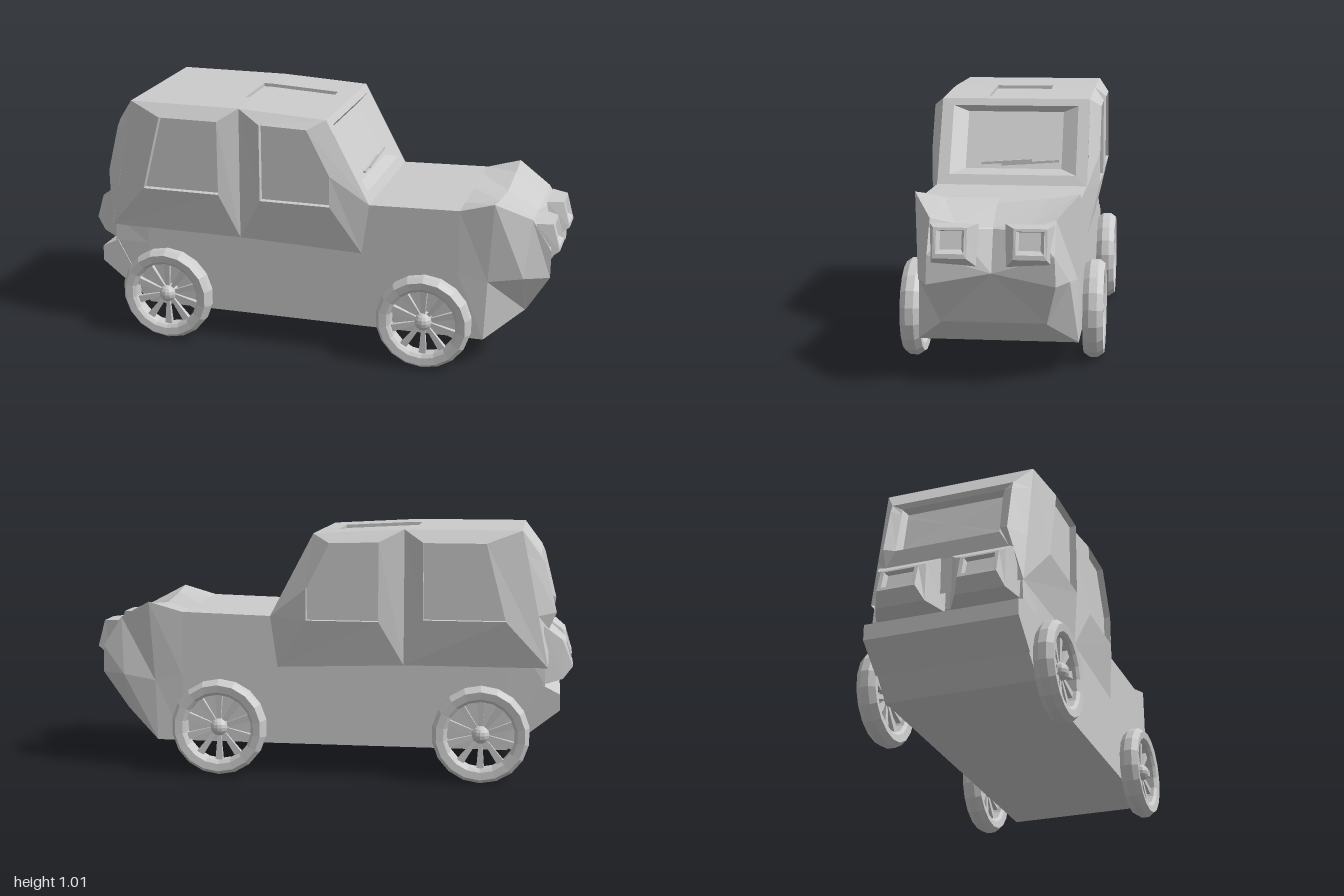
import * as THREE from 'three';

const mat = new THREE.MeshStandardMaterial({ color: 0xcccccc, flatShading: true, side: THREE.DoubleSide });

function addMesh(parent, name, geo) {
  const m = new THREE.Mesh(geo, mat);
  m.name = name;
  parent.add(m);
  return m;
}

// Skin through equal-length loops (counter-clockwise towards the viewer), capped at the last one
function loft(loops, { tip, back } = {}) {
  const pos = [];
  const tri = (...p) => p.forEach(v => pos.push(...v));
  const centre = l => [0, 1, 2].map(k => l.reduce((s, p) => s + p[k], 0) / l.length);
  const n = loops[0].length;
  for (let r = 0; r + 1 < loops.length; r++) {
    const a = loops[r], b = loops[r + 1];
    for (let i = 0; i < n; i++) {
      const j = (i + 1) % n;
      tri(a[i], a[j], b[j]);
      tri(a[i], b[j], b[i]);
    }
  }
  const last = loops[loops.length - 1], c = tip || centre(last);
  for (let i = 0; i < n; i++) tri(last[i], last[(i + 1) % n], c);
  if (back) {
    const d = centre(loops[0]);
    for (let i = 0; i < n; i++) tri(loops[0][(i + 1) % n], loops[0][i], d);
  }
  const g = new THREE.BufferGeometry();
  g.setAttribute('position', new THREE.Float32BufferAttribute(pos, 3));
  g.computeVertexNormals();
  return g;
}

const flip = p => [p[0], p[1], -p[2]];
const mirrorLoop = l => l.map(flip).reverse();
const shift = (l, dx, dy, dz) => l.map(p => [p[0] + dx, p[1] + dy, p[2] + dz]);

// Loop symmetric about z = 0 from a line of [x, y] points
const bothSides = (pts, z) => [...pts.map(p => [...p, z]), ...pts.slice().reverse().map(p => [...p, -z])];

// Rectangle facing +x (s = 1) or -x (s = -1), its top leaning back by tilt
function rect(s, x, y0, y1, z0, z1, tilt = 0) {
  const [a, b] = s > 0 ? [z1, z0] : [z0, z1], t = x - s * tilt;
  return [[x, y0, a], [x, y0, b], [t, y1, b], [t, y1, a]];
}

function makeWheel() {
  const g = new THREE.Group();
  const profile = [[.138, -.025], [.15, -.036], [.18, -.04], [.197, -.016], [.197, .016], [.18, .04],
    [.15, .036], [.138, .025], [.138, -.025]].map(p => new THREE.Vector2(...p));
  addMesh(g, 'tyre', new THREE.LatheGeometry(profile, 18).rotateX(Math.PI / 2));
  // Spokes widen towards the rim
  for (let i = 0; i < 10; i++) {
    const geo = new THREE.CylinderGeometry(.022, .009, .125, 4).rotateY(Math.PI / 4).scale(1, 1, .7);
    addMesh(g, 'spoke', geo.translate(0, .08, 0)).rotation.z = i * Math.PI / 5;
  }
  addMesh(g, 'hub', new THREE.SphereGeometry(.036, 12, 8)).position.z = .003;
  addMesh(g, 'axleStub', new THREE.CylinderGeometry(.025, .025, .08, 10).rotateX(Math.PI / 2)).position.z = -.05;
  return g;
}

export function createModel() {
  const car = new THREE.Group();
  car.name = 'car';

  // Lower body: half sections from tail to nose, bottom edge to top centre
  const straight = (x, bottom, top, z = .31) =>
    [[x, bottom, z], [x, .4, z], [x, top, z], [x, top, .2], [x, top, 0]];
  const halves = [
    [[-.83, .21, .305], [-.89, .4, .305], [-.885, .5, .3], [-.87, .52, .2], [-.87, .52, 0]],
    straight(-.74, .13, .64, .308),
    straight(.23, .13, .66),
    straight(.6, .13, .67),
    [[.71, .13, .31], [.72, .38, .305], [.74, .71, .313], [.74, .69, .2], [.74, .67, 0]],
    [[.86, .235, .2], [.86, .4, .285], [.88, .635, .235], [.875, .615, .14], [.865, .6, 0]],
    [[.865, .24, .2], [.96, .4, .24], [.96, .51, .235], [.92, .605, .14], [.87, .595, 0]],
  ];
  const rows = halves.map(h => [...h.map(flip), ...h.slice(0, -1).reverse()]);
  addMesh(car, 'body', loft(rows, { tip: [.93, .44, 0], back: true }));

  // Rear bumper
  const bumper = new THREE.Shape([[-.8, .25], [-.83, .205], [-.95, .3], [-.95, .365], [-.88, .4]]
    .map(p => new THREE.Vector2(...p)));
  addMesh(car, 'rearBumper', new THREE.ExtrudeGeometry(bumper, { depth: .62, bevelEnabled: false }).translate(0, 0, -.31));

  // Cabin sides: each window bulges out from the body, then steps in to the glass
  const frontOuter = [[-.32, .47, .318], [.2, .45, .311], [.23, .66, .311], [.05, 1, .31], [-.32, 1.02, .31]];
  const frontRim = [[-.22, .65], [.075, .65], [.075, .78], [-.02, .965], [-.22, .97]].map(p => [...p, .355]);
  const rearOuter = [[-.9, .47, .309], [-.32, .47, .318], [-.32, 1.02, .31], [-.79, 1.02, .31]];
  const rearRim = [[-.73, .66], [-.4, .66], [-.4, .97], [-.65, .97]].map(p => [...p, .357]);
  for (const [name, outer, rim] of [['frontSideWindow', frontOuter, frontRim], ['rearSideWindow', rearOuter, rearRim]]) {
    const loops = [outer, rim, shift(rim, 0, 0, -.028)];
    addMesh(car, name + 'Left', loft(loops));
    addMesh(car, name + 'Right', loft(loops.map(mirrorLoop)));
  }

  // Roof with sunken sunroof
  const sunroof = bothSides([[-.355, 1.02], [-.32, 1.02], [-.025, 1.004]], .124);
  addMesh(car, 'roof', loft([bothSides([[-.79, 1.02], [-.32, 1.02], [.05, 1]], .31), sunroof, shift(sunroof, 0, -.014, 0)]));

  // Windscreen sunk between bevelled pillars
  addMesh(car, 'windscreen', loft([
    rect(1, .23, .66, 1, -.31, .31, .18),
    rect(1, .21, .7, .972, -.262, .262, .144),
    rect(1, .165, .72, .945, -.2, .2, .119)]));

  // Wipers
  for (const [z, y, len] of [[.028, .748, .21], [-.07, .745, .24]]) {
    const wiper = addMesh(car, 'wiper', new THREE.BoxGeometry(.008, .01, len));
    wiper.position.set(.162, y, z);
    wiper.rotation.x = .07;
  }

  // Tailgate: the window frame stands out from the straight rear corners
  addMesh(car, 'tailgate', loft([
    bothSides([[-.9, .47], [-.858, .68], [-.81, .92], [-.79, 1.02]], .31),
    bothSides([[-.9, .62], [-.93, .69], [-.88, .89], [-.865, .925]], .255),
    bothSides([[-.905, .69], [-.9, .71], [-.86, .88], [-.855, .905]], .215),
    bothSides([[-.87, .7], [-.865, .72], [-.835, .87], [-.83, .89]], .2)]));

  // Framed lamps, front and rear
  for (const side of [-1, 1]) {
    const span = (a, b) => side > 0 ? [a, b] : [-b, -a];
    addMesh(car, 'headlight', loft([
      rect(1, .925, .46, .62, ...span(.05, .232), .03),
      rect(1, .99, .505, .615, ...span(.085, .21), .03),
      rect(1, .988, .522, .605, ...span(.095, .198), .025),
      rect(1, .968, .535, .6, ...span(.105, .185), .02)]));
    addMesh(car, 'tailLight', loft([
      rect(-1, -.88, .4, .64, ...span(.01, .295), 0),
      rect(-1, -.96, .42, .58, ...span(.06, .26), .005),
      rect(-1, -1, .47, .57, ...span(.085, .24), .03),
      rect(-1, -.995, .485, .562, ...span(.1, .225), .022),
      rect(-1, -.97, .49, .557, ...span(.105, .218), .02)]));
  }

  // Wheels
  for (const [name, x, side] of [['rearWheelLeft', -.637, 1], ['rearWheelRight', -.637, -1],
    ['frontWheelLeft', .473, 1], ['frontWheelRight', .437, -1]]) {
    const wheel = makeWheel();
    wheel.name = name;
    wheel.position.set(x, .202, side * .357);
    if (side < 0) wheel.rotation.y = Math.PI;
    car.add(wheel);
  }
  return car;
}
